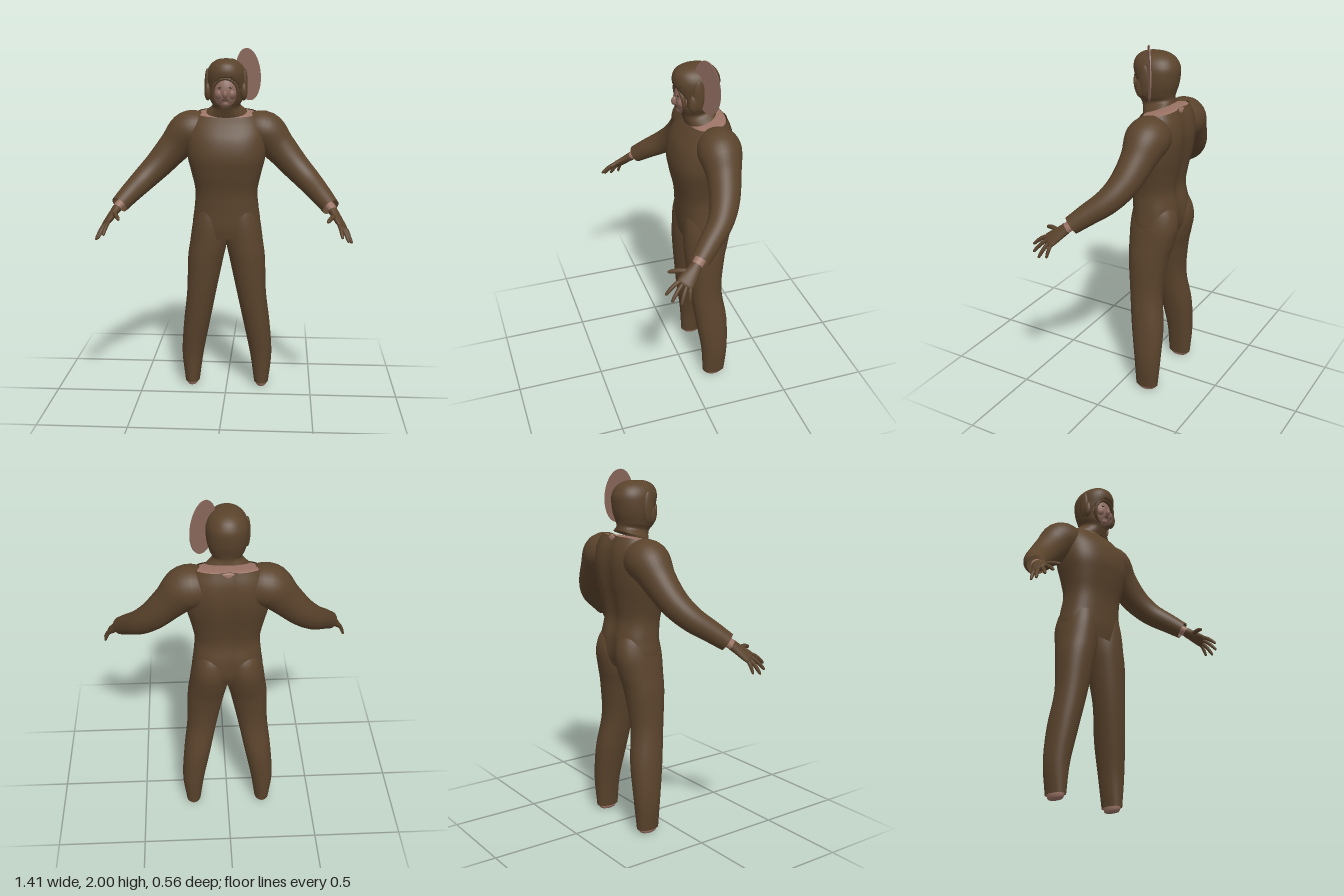
import * as THREE from 'three';

const mat = (name, color, side = THREE.DoubleSide) => {
  const m = new THREE.MeshStandardMaterial({ color, side });
  m.name = name;
  return m;
};

// Smoothly resample rows of numbers, column by column
function resample(rows, steps) {
  const size = rows[0].length;
  const curve = new THREE.CubicInterpolant(rows.map((_, i) => i), rows.flat(), size, new Array(size).fill(0));
  const count = (rows.length - 1) * steps;
  return Array.from({ length: count + 1 }, (_, i) => Array.from(curve.evaluate(i / steps)));
}

// Skin a list of closed rings, each an array of Vector3
function skinRings(rings) {
  const n = rings[0].length, index = [];
  for (let i = 0; i < rings.length - 1; i++) {
    for (let j = 0; j < n; j++) {
      const a = i * n + j, b = a + n, c = i * n + (j + 1) % n, d = c + n;
      index.push(a, b, c, c, b, d);
    }
  }
  const geo = new THREE.BufferGeometry().setFromPoints(rings.flat());
  geo.setIndex(index);
  geo.computeVertexNormals();
  return geo;
}

// Upright loft: rows are [y, xMin, xMax, zFront, zBack, tilt]
function upright(rows, { power = 2, steps = 5, sides = 40, rule } = {}) {
  const soft = (t) => Math.sign(t) * Math.abs(t) ** (2 / power);
  return skinRings(resample(rows, steps).map(([y, x0, x1, zf, zb, tilt]) =>
    Array.from({ length: sides }, (_, j) => {
      const a = j / sides * Math.PI * 2, c = soft(Math.cos(a)), s = soft(Math.sin(a));
      const p = new THREE.Vector3((x0 + x1) / 2 + c * (x1 - x0) / 2, y - tilt * s, (zf + zb) / 2 + s * (zf - zb) / 2);
      if (rule) rule(p);
      return p;
    })));
}

// Limb along a path: rows are [x, y, z, wide radius, thin radius]
function limb(rows, wide, steps = 5, sides = 24) {
  const samples = resample(rows, steps);
  const centres = samples.map((r) => new THREE.Vector3(r[0], r[1], r[2]));
  return skinRings(samples.map((r, i) => {
    const T = centres[Math.min(i + 1, centres.length - 1)].clone().sub(centres[Math.max(i - 1, 0)]).normalize();
    const u = wide.clone().addScaledVector(T, -wide.dot(T)).normalize();
    const v = u.clone().cross(T);
    return Array.from({ length: sides }, (_, j) => {
      const a = j / sides * Math.PI * 2;
      return centres[i].clone().addScaledVector(u, Math.cos(a) * r[3]).addScaledVector(v, Math.sin(a) * r[4]);
    });
  }));
}

const symmetric = (rows) => rows.map(([y, hw, zf, zb, tilt = 0]) => [y, -hw, hw, zf, zb, tilt]);

export function createModel() {
  const model = new THREE.Group();
  const suit = mat('suit brown', 0x5a432c);
  const skin = mat('skin', 0x9c7567);
  const discSkin = mat('dusky skin', 0x8a685c);
  const dark = mat('dark features', 0x3a2a22);

  const add = (name, geo, material, parent = model) => {
    const mesh = new THREE.Mesh(geo, material);
    mesh.name = name;
    parent.add(mesh);
    return mesh;
  };
  const ball = (name, material, [x, y, z], [rx, ry, rz]) => {
    const mesh = add(name, new THREE.SphereGeometry(1, 32, 20), material);
    mesh.position.set(x, y, z);
    mesh.scale.set(rx, ry, rz);
    return mesh;
  };

  // Torso with a shallow groove along the spine
  add('torso', upright(symmetric([
    [0.93, 0.165, -0.01, -0.235], [1.0, 0.195, 0, -0.26], [1.1, 0.185, 0.005, -0.26],
    [1.2, 0.178, 0.013, -0.24], [1.3, 0.198, 0.035, -0.252], [1.4, 0.222, 0.05, -0.272],
    [1.5, 0.225, 0.033, -0.284], [1.58, 0.212, -0.008, -0.275, 0.008], [1.64, 0.172, -0.045, -0.248, 0.02],
  ]), {
    power: 2.4, sides: 56,
    rule: (p) => { if (p.z < -0.14) p.z += 0.015 * Math.exp(-((p.x / 0.04) ** 2)); },
  }), suit);

  // Bare shoulders inside the wide neckline
  add('bareShoulders', upright(symmetric([
    [1.615, 0.174, -0.05, -0.245, 0.02], [1.638, 0.165, -0.055, -0.24, 0.018],
    [1.648, 0.1, -0.09, -0.21, 0.01], [1.65, 0, -0.15, -0.15, 0],
  ]), { power: 2.3 }), skin);

  for (const s of [1, -1]) {
    const side = s > 0 ? 'left' : 'right';
    const flip = (rows) => rows.map(([x, ...rest]) => [x * s, ...rest]);

    // Leg and ankle stump
    const leg = [
      [0.025, 0.165, 0.25, -0.09, -0.222], [0.2, 0.14, 0.268, -0.08, -0.235], [0.4, 0.1, 0.255, -0.05, -0.236],
      [0.6, 0.06, 0.232, -0.025, -0.21], [0.8, 0.018, 0.225, -0.005, -0.23], [0.9, -0.003, 0.212, 0, -0.255],
      [1.0, -0.005, 0.198, 0, -0.275], [1.08, 0, 0.18, -0.01, -0.262], [1.14, 0.02, 0.16, -0.03, -0.225],
    ];
    const ankle = [
      [0, 0.205, 0.206, -0.155, -0.156], [0.002, 0.18, 0.235, -0.11, -0.2],
      [0.03, 0.172, 0.243, -0.098, -0.214], [0.07, 0.172, 0.243, -0.098, -0.214],
    ];
    const mirrored = (rows) => rows.map(([y, a, b, zf, zb]) => (s > 0 ? [y, a, b, zf, zb, 0] : [y, -b, -a, zf, zb, 0]));
    add(side + 'Leg', upright(mirrored(leg), { power: 2.15 }), suit);
    add(side + 'Ankle', upright(mirrored(ankle), { steps: 3 }), skin);

    // Sleeve
    add(side + 'Sleeve', limb(flip([
      [0.13, 1.53, -0.155, 0.105, 0.105], [0.215, 1.53, -0.155, 0.118, 0.118], [0.30, 1.445, -0.148, 0.093, 0.095],
      [0.39, 1.345, -0.122, 0.08, 0.08], [0.47, 1.265, -0.07, 0.068, 0.069], [0.54, 1.195, 0.015, 0.058, 0.058],
      [0.588, 1.143, 0.078, 0.05, 0.05],
    ]), new THREE.Vector3(0, 0, 1), 6, 32), suit);

    // Wrist, palm and fingers
    const hand = new THREE.Group();
    hand.name = side + 'Hand';
    model.add(hand);
    const across = new THREE.Vector3(0.59 * s, -0.47, -0.65);
    add('wrist', limb(flip([
      [0.565, 1.165, 0.05, 0.03, 0.027], [0.59, 1.14, 0.085, 0.03, 0.026], [0.608, 1.115, 0.113, 0.03, 0.022],
    ]), across), skin, hand);
    add('palm', limb(flip([
      [0.598, 1.128, 0.1, 0.031, 0.026], [0.615, 1.105, 0.125, 0.036, 0.022], [0.635, 1.075, 0.16, 0.044, 0.019],
      [0.65, 1.056, 0.183, 0.042, 0.013], [0.654, 1.05, 0.19, 0, 0],
    ]), across), suit, hand);
    const digits = [
      ['thumb', [0.612, 1.105, 0.14], [0.565, 1.09, 0.245], 0.013],
      ['indexFinger', [0.629, 1.073, 0.198], [0.645, 1.01, 0.283], 0.011],
      ['middleFinger', [0.641, 1.063, 0.187], [0.68, 0.985, 0.26], 0.011],
      ['ringFinger', [0.654, 1.053, 0.172], [0.7, 0.97, 0.215], 0.011],
      ['littleFinger', [0.666, 1.043, 0.157], [0.695, 0.978, 0.168], 0.01],
    ];
    for (const [name, from, to, r] of digits) {
      const at = (t, k) => [...from.map((f, i) => f + (to[i] - f) * t + (i === 1 ? 0.03 * t * (1 - t) : 0)), r * k, r * k];
      add(name, limb(flip([at(-0.1, 1), at(0.35, 1), at(0.7, 0.9), at(0.94, 0.65), at(1, 0)]), across, 4, 12), suit, hand);
    }

    // Ear flap on the hood, and the eye
    ball(side + 'EarFlap', suit, [0.104 * s, 1.805, -0.075], [0.016, 0.085, 0.032]);
    ball(side + 'EarPad', suit, [0.1 * s, 1.765, -0.05], [0.02, 0.05, 0.028]);
    ball(side + 'Eye', dark, [0.028 * s, 1.788, 0.012], [0.012, 0.004, 0.003]);
    ball(side + 'Cheek', discSkin, [0.034 * s, 1.752, -0.008], [0.026, 0.03, 0.026]);
  }

  // Hood, pressed in at the front to make the face opening
  add('hood', upright(symmetric([
    [1.65, 0.115, -0.035, -0.2, 0.03], [1.685, 0.078, -0.018, -0.196, 0.02], [1.72, 0.092, 0, -0.2, 0.01],
    [1.78, 0.106, 0.012, -0.215], [1.85, 0.11, 0.03, -0.223], [1.89, 0.1, 0.028, -0.212],
    [1.92, 0.078, 0.01, -0.188], [1.94, 0.044, -0.03, -0.148], [1.945, 0, -0.09, -0.09],
  ]), {
    power: 2.1, sides: 64, steps: 8,
    rule: (p) => {
      if (p.z > -0.1 && (p.x / 0.072) ** 2 + ((p.y - 1.762) / 0.078) ** 2 < 1) p.z = Math.min(p.z, -0.05);
    },
  }), suit);
  const rim = add('faceOpeningRim', new THREE.TorusGeometry(1, 0.12, 10, 48), suit);
  rim.position.set(0, 1.762, -0.008);
  rim.scale.set(0.07, 0.078, 0.1);
  rim.rotation.x = 0.2;

  // Face
  ball('face', discSkin, [0, 1.762, -0.06], [0.078, 0.105, 0.08]);
  ball('nose', discSkin, [0, 1.752, 0.02], [0.014, 0.024, 0.02]);
  ball('chin', discSkin, [0, 1.7, -0.012], [0.026, 0.02, 0.022]);
  ball('mouth', dark, [0, 1.722, 0.015], [0.02, 0.003, 0.004]);

  // Thin oval disc beside the head
  const disc = add('ovalDisc', new THREE.CylinderGeometry(1, 1, 0.006, 56)
    .rotateX(Math.PI / 2).scale(0.081, 0.145, 1).rotateZ(0.13).rotateY(0.61), discSkin);
  disc.position.set(0.122, 1.8555, -0.115);

  return model;
}
